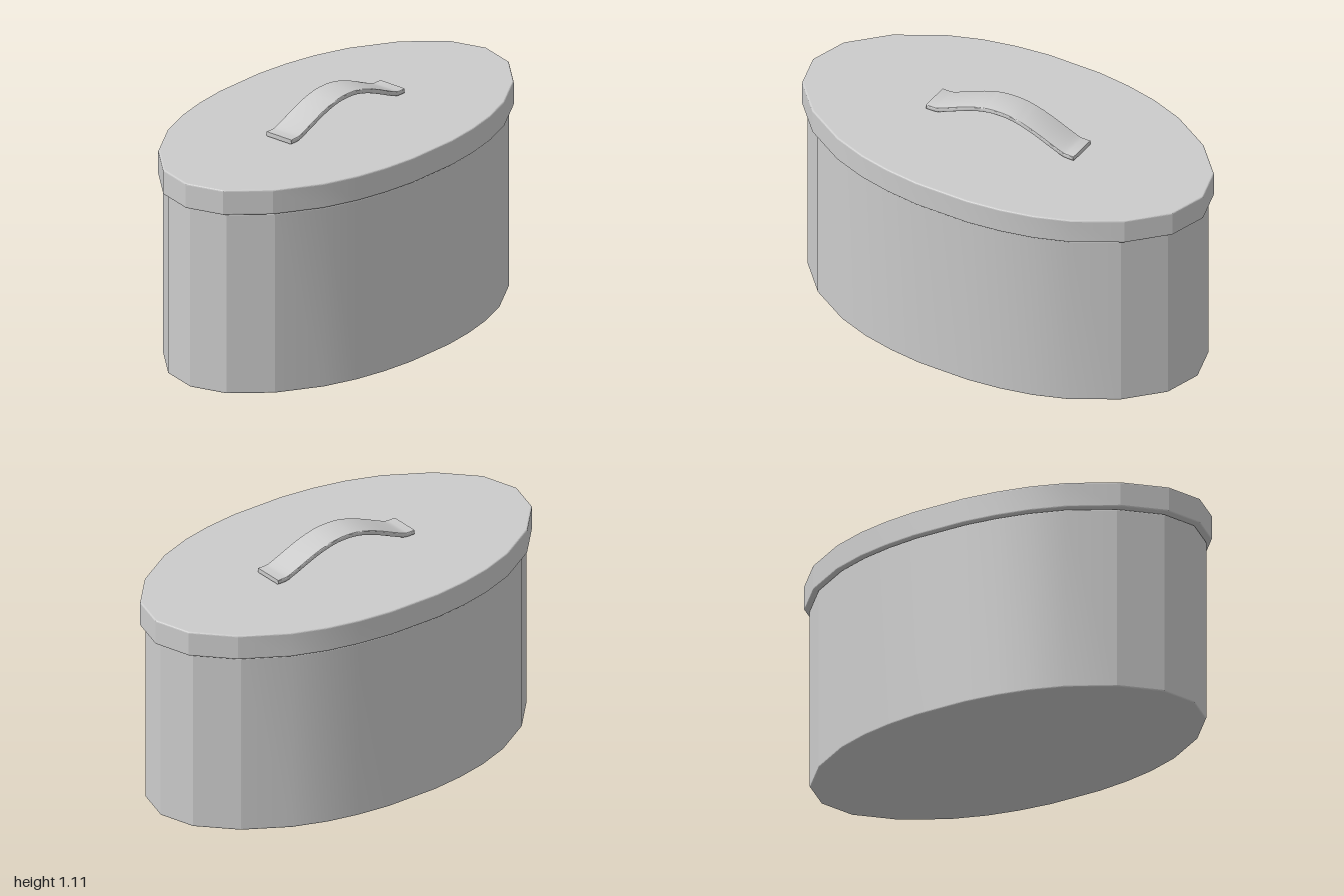
import * as THREE from 'three';
import { toCreasedNormals } from 'three/addons/utils/BufferGeometryUtils.js';

const material = new THREE.MeshStandardMaterial({ color: 0xcccccc });

// One quarter of the faceted oval, from the pointed end to the long side
const QUARTER = [[1, 0], [0.95, 0.175], [0.8, 0.335], [0.6, 0.455], [0.44, 0.513], [0.29, 0.546], [0.13, 0.565]];

function ovalShape(sx, sz) {
  const side = QUARTER.concat(QUARTER.slice(1).reverse().map(([x, z]) => [-x, z]));
  const ring = side.concat(side.map(([x, z]) => [-x, -z]));
  return new THREE.Shape(ring.map(([x, z]) => new THREE.Vector2(x * sx, z * sz)));
}

// Extrusion of exact overall depth with softly rounded edges inside the outline
function rounded(shape, depth, r, crease) {
  const geo = new THREE.ExtrudeGeometry(shape, {
    depth: depth - 2 * r, bevelEnabled: true, bevelThickness: r, bevelSize: r,
    bevelOffset: -r, bevelSegments: 3, curveSegments: 8,
  });
  geo.translate(0, 0, r);
  return toCreasedNormals(geo, crease);
}

function addMesh(group, name, geo) {
  const mesh = new THREE.Mesh(geo, material);
  mesh.name = name;
  group.add(mesh);
}

// Upright oval drum between two heights
function drum(sx, sz, y0, y1) {
  return rounded(ovalShape(sx, sz), y1 - y0, 0.007, 0.24).rotateX(-Math.PI / 2).translate(0, y0, 0);
}

// Arched strap with flat feet, drawn as a side profile
function strap() {
  const half = [[0, 1.095], [0.06, 1.091], [0.13, 1.074], [0.2, 1.048], [0.27, 1.018], [0.325, 0.997], [0.35, 0.995], [0.378, 0.995]];
  const points = half.slice(1).reverse().map(([x, y]) => [-x, y]).concat(half);
  const curve = new THREE.CatmullRomCurve3(points.map(([x, y]) => new THREE.Vector3(x, y, 0)));
  const top = [], bottom = [];
  const n = 40;
  for (let i = 0; i <= n; i++) {
    const p = curve.getPoint(i / n), t = curve.getTangent(i / n);
    const h = 0.0105;
    top.push(new THREE.Vector2(p.x - t.y * h, p.y + t.x * h));
    bottom.push(new THREE.Vector2(p.x + t.y * h, p.y - t.x * h));
  }
  return rounded(new THREE.Shape(bottom.concat(top.reverse())), 0.147, 0.005, 0.5).translate(0, 0, -0.0755);
}

export function createModel() {
  const group = new THREE.Group();
  group.name = 'ovalBox';
  addMesh(group, 'body', drum(0.972, 0.973, 0, 0.858));
  // Recessed neck closing the seam between body and lid
  addMesh(group, 'neck', drum(0.95, 0.945, 0.8, 0.9));
  addMesh(group, 'lid', drum(1, 1, 0.862, 0.98));
  addMesh(group, 'handle', strap());
  return group;
}
